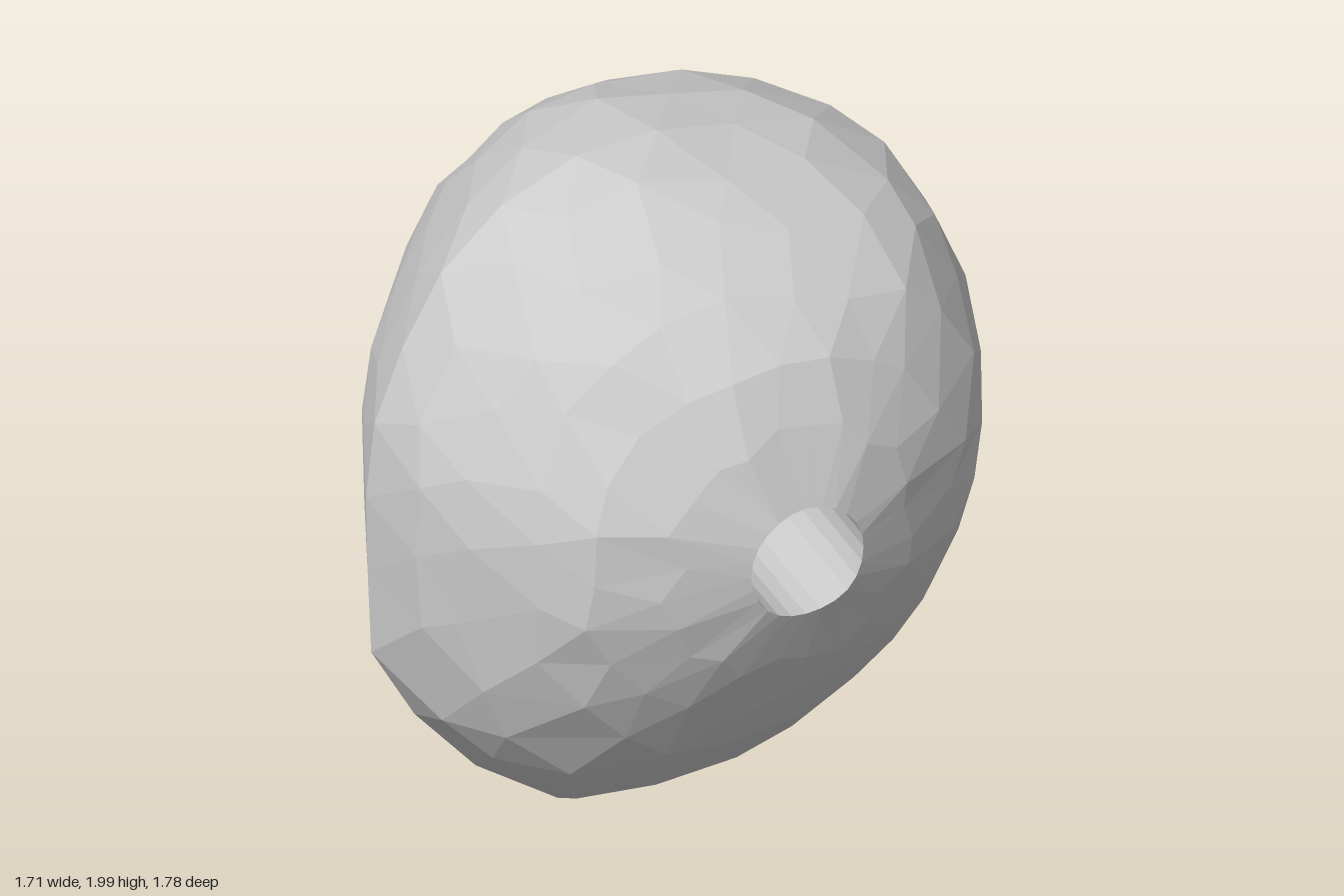
import * as THREE from 'three';

// Height profile: y, left edge x, right edge x
const FRONT = [[0, -0.29, -0.2], [0.03, -0.34, -0.09], [0.08, -0.44, 0], [0.13, -0.49, 0.05], [0.2, -0.56, 0.24],
  [0.34, -0.68, 0.48], [0.47, -0.78, 0.6], [0.62, -0.845, 0.69], [0.72, -0.85, 0.745], [1, -0.855, 0.82],
  [1.2, -0.86, 0.845], [1.4, -0.815, 0.855], [1.7, -0.67, 0.74], [1.85, -0.53, 0.6], [1.92, -0.42, 0.42],
  [1.97, -0.32, 0.15], [2, -0.18, 0]];
// Height profile: y, back edge z, front edge z
const SIDE = [[0, -0.01, 0.01], [0.1, -0.22, 0.2], [0.22, -0.39, 0.39], [0.42, -0.57, 0.58], [0.6, -0.7, 0.7],
  [0.78, -0.83, 0.8], [0.95, -0.89, 0.87], [1.02, -0.89, 0.89], [1.3, -0.88, 0.89], [1.5, -0.81, 0.81],
  [1.68, -0.68, 0.71], [1.82, -0.54, 0.52], [1.9, -0.41, 0.37], [1.97, -0.25, 0.23], [2, -0.03, 0.03]];
// Plan outline: relative depth, left and right edge relative to the half width
const PLAN = [[-1, -0.07, 0.35], [-0.89, -0.39, 0.65], [-0.75, -0.52, 0.73], [-0.54, -0.68, 0.77], [-0.38, -0.81, 0.86],
  [-0.29, -0.85, 0.91], [0, -1, 1], [0.29, -0.96, 0.95], [0.5, -0.86, 0.87], [0.63, -0.78, 0.81],
  [0.79, -0.67, 0.66], [0.9, -0.47, 0.47], [1, -0.2, 0.2]];

const CENTRE = new THREE.Vector3(0, 1.1, 0);
const RINGS = 13, SIDES = 24, SHIFT = (RINGS - 1) / 2;

function sample(table, key) {
  const i = Math.max(1, table.findIndex((row) => row[0] >= key));
  const a = table[i - 1], b = table[i], t = (key - a[0]) / (b[0] - a[0]);
  return [a[1] + (b[1] - a[1]) * t, a[2] + (b[2] - a[2]) * t];
}

function inside({ x, y, z }) {
  if (y <= 0 || y >= 2) return false;
  const [left, right] = sample(FRONT, y), [back, front] = sample(SIDE, y);
  const depth = z < 0 ? -z / back : z / front;
  if (Math.abs(depth) >= 1) return false;
  const [l, r] = sample(PLAN, depth);
  // the hollow at the back left is deepest at mid height and fades to a round section
  const fade = z < 0 ? Math.min(0.7, Math.max(0, Math.abs(y - 1.25) - 0.15) * 1.8) : 0;
  const edge = THREE.MathUtils.lerp(r, Math.sqrt(1 - depth * depth), fade);
  const offset = (x - (left + right) / 2) / ((right - left) / 2);
  return offset > l && offset < edge;
}

// Point of the stone surface in a direction from its centre
function surfacePoint(direction) {
  const p = new THREE.Vector3();
  let low = 0, high = 2;
  for (let k = 0; k < 30; k++) {
    const mid = (low + high) / 2;
    p.copy(CENTRE).addScaledVector(direction, mid);
    if (inside(p)) low = mid; else high = mid;
  }
  return p;
}

let seed = 7;
function jitter(amount) {
  seed = (seed * 16807) % 2147483647;
  return (seed / 2147483647 - 0.5) * 2 * amount;
}

// Rings run from the front rim of the hole, around the stone, to the back rim
function makeRings() {
  const rings = [];
  for (let i = 0; i < RINGS; i++) {
    const free = i > 0 && i < RINGS - 1 && i !== SHIFT;
    const ring = [];
    for (let j = 0; j < SIDES; j++) {
      const phi = 0.185 + (Math.PI - 0.387) * i / (RINGS - 1) + (free ? jitter(0.05) : 0);
      const angle = (j + i / 2 + (free ? jitter(0.17) : 0)) * 2 * Math.PI / SIDES;
      const c = Math.cos(phi), s = Math.sin(phi);
      // the hole drifts sideways and down towards the back
      ring.push(surfacePoint(new THREE.Vector3(
        s * Math.cos(angle) + 0.13 * Math.max(0, -c),
        s * Math.sin(angle) + Math.max(0.057 * c, -0.013 * c), c).normalize()));
    }
    rings.push(ring);
  }
  return rings;
}

function stitch(name, rings, material) {
  const points = [];
  for (let i = 0; i + 1 < rings.length; i++) {
    for (let j = 0; j < SIDES; j++) {
      const k = (j + 1) % SIDES, a = rings[i], b = rings[i + 1];
      points.push(a[j], b[j], a[k], b[j], b[k], a[k]);
    }
  }
  const geometry = new THREE.BufferGeometry().setFromPoints(points);
  geometry.computeVertexNormals();
  const mesh = new THREE.Mesh(geometry, material);
  mesh.name = name;
  return mesh;
}

export function createModel() {
  const group = new THREE.Group();
  group.name = 'piercedStone';
  const material = new THREE.MeshStandardMaterial({ color: 0xcccccc, flatShading: true });
  const rings = makeRings();
  group.add(stitch('stoneBody', rings, material));

  // Straight wall of the hole, joining the back rim to the front rim
  const backRim = rings[RINGS - 1];
  const frontRim = backRim.map((_, j) => rings[0][(j + SHIFT) % SIDES]);
  group.add(stitch('holeWall', [backRim, frontRim], material));
  return group;
}
